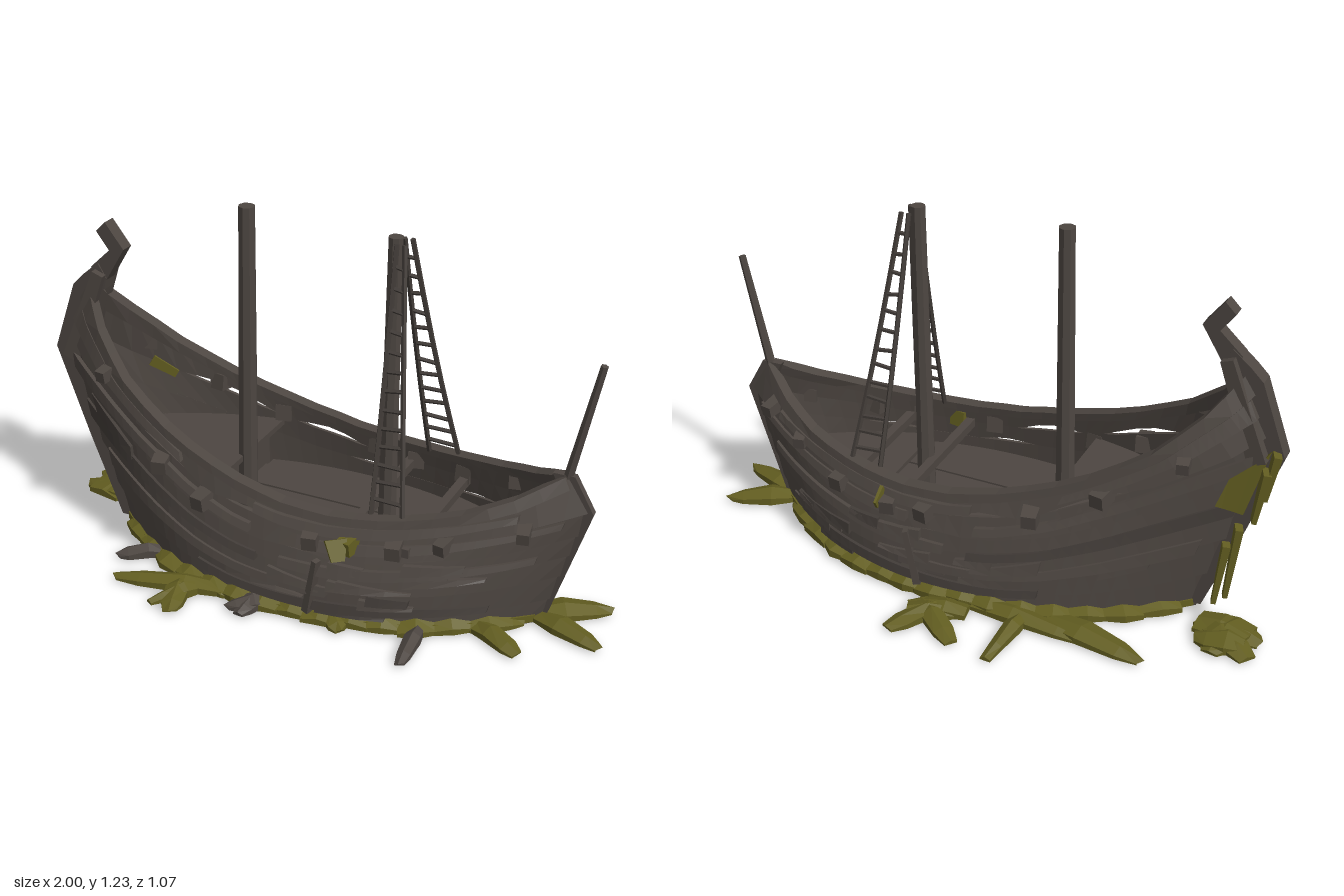
import * as THREE from 'three';

const V = (x, y, z) => new THREE.Vector3(x, y, z);
const mat = (name, color) => {
  const m = new THREE.MeshStandardMaterial({ color, flatShading: true });
  m.name = name;
  return m;
};
let seed = 7;
const rnd = () => (seed = (seed * 16807) % 2147483647) / 2147483647;

// piecewise linear lookup in [key, value] pairs
function look(table, k) {
  for (let i = 1; i < table.length; i++) {
    const [a, va] = table[i - 1], [b, vb] = table[i];
    if (k <= b) return va + (vb - va) * Math.max(0, (k - a) / (b - a));
  }
  return table[table.length - 1][1];
}

// hull form: u runs from prow to stern, t from keel to rim
const CZ = 0.03;
const SHEER = [0.88, 0.745, 0.61, 0.5, 0.43, 0.39, 0.375, 0.385, 0.415, 0.465, 0.535].map((h, i) => [i / 10, h]);
const STEM = [[0, -0.74], [0.3, -0.85], [0.62, -0.96], [0.75, -0.93], [0.88, -0.86]];
const STERN = [[0, 0.77], [0.42, 0.9], [0.53, 0.84]];
const BULGE = [[0, 1], [0.35, 1.04], [0.7, 1.02], [1, 0.96]];
function hull(u, t, s, o = 0) {
  const y = t * look(SHEER, u), a = look(STEM, y), b = look(STERN, y);
  const w = 0.308 * (1 - Math.abs(2 * u - 1) ** (2.4 - 0.35 * t)) * look(BULGE, t);
  return V(a + (b - a) * u, y, CZ + s * Math.max(0.004, w + o));
}

// closed solid through a row of equal-sized rings
function loft(rings) {
  const p = [], n = rings[0].length;
  const tri = (...c) => p.push(c);
  for (let i = 1; i < rings.length; i++)
    for (let j = 0; j < n; j++) {
      const k = (j + 1) % n, A = rings[i - 1], B = rings[i];
      tri(A[j], A[k], B[k]);
      tri(A[j], B[k], B[j]);
    }
  const F = rings[0], L = rings[rings.length - 1];
  for (let j = 1; j < n - 1; j++) {
    tri(F[0], F[j + 1], F[j]);
    tri(L[0], L[j], L[j + 1]);
  }
  const vol = p.reduce((v, [a, b, c]) => v + a.dot(b.clone().cross(c)), 0);
  if (vol < 0) p.forEach(c => c.reverse());
  const g = new THREE.BufferGeometry().setFromPoints(p.flat());
  g.computeVertexNormals();
  return g;
}

export function createModel() {
  seed = 7;
  const root = new THREE.Group();
  root.name = 'shipwreck';
  const wood = mat('weathered wood', 0x4d4641);
  const dark = mat('dark wood', 0x423c38);
  const moss = mat('moss', 0x635e21);
  const base = mat('hull bottom', 0x494646);
  const add = (name, geo, m) => {
    const mesh = new THREE.Mesh(geo, m);
    mesh.name = name;
    root.add(mesh);
    return mesh;
  };

  // plank following the hull side; lo and hi give its edges as t
  function strake(name, s, u0, u1, lo, hi, oLo, oHi, inner, m = wood, steps = 22) {
    const rings = [];
    for (let i = 0; i <= steps; i++) {
      const u = u0 + (u1 - u0) * i / steps, a = lo(u), b = hi(u);
      rings.push([hull(u, a, s, oLo), hull(u, b, s, oHi), hull(u, b, s, inner), hull(u, a, s, inner)]);
    }
    add(name, loft(rings), m);
  }
  // tapered bar between two points
  function bar(name, a, b, w, h, m, taper = 1) {
    const d = b.clone().sub(a), len = d.length(), g = new THREE.BoxGeometry(w, h, len);
    const pos = g.attributes.position;
    for (let i = 0; i < pos.count; i++)
      if (pos.getZ(i) > 0) pos.setXY(i, pos.getX(i) * taper, pos.getY(i) * taper);
    const mesh = add(name, g, m);
    mesh.position.copy(a).addScaledVector(d, 0.5);
    mesh.lookAt(b);
  }
  function pole(name, a, b, r0, r1, sides, m) {
    const d = b.clone().sub(a);
    const mesh = add(name, new THREE.CylinderGeometry(r1, r0, d.length(), sides), m);
    mesh.position.copy(a).addScaledVector(d, 0.5);
    mesh.quaternion.setFromUnitVectors(V(0, 1, 0), d.normalize());
  }
  // ridged, ragged splinter lying on the ground
  function splinter(name, x1, z1, x0, z0, w, m) {
    const d = V(x0 - x1, 0, z0 - z1), side = V(-d.z, 0, d.x).normalize();
    const rings = [[0, 0.45, 0.035], [0.35, 0.55, 0.05], [0.75, 0.42, 0.036], [1, 0.26, 0.022]].map(([k, f, h]) => {
      const at = (o, y, e = 0) => V(x1, y, z1).addScaledVector(d, k + e).addScaledVector(side, o);
      const e = k === 1 ? -0.12 * rnd() : 0, l = w * f * (0.8 + 0.4 * rnd());
      return [at(-l, 0.008, e), at(-l, h * 0.7, e), at(l * 0.2 * (rnd() - 0.5), h), at(l, h * 0.6, e / 2), at(l, 0.008, e / 2)];
    });
    add(name, loft(rings), m);
  }
  // flat plate with the hull's outline at height y, between two u values
  function plate(name, y, u0, u1, thick, grow, m) {
    const pts = [];
    for (const s of [1, -1])
      for (let i = 0; i <= 16; i++) {
        const k = s > 0 ? i / 16 : 1 - i / 16, u = u0 + (u1 - u0) * k;
        const p = hull(u, y / look(SHEER, u), s, grow);
        pts.push(new THREE.Vector2(p.x, -p.z));
      }
    const g = new THREE.ExtrudeGeometry(new THREE.Shape(pts), { depth: thick, bevelEnabled: false });
    g.rotateX(-Math.PI / 2).translate(0, y, 0);
    add(name, g, m);
  }

  // overlapping side planking with sprung, open seams
  const seam = (u, a, b, h) => (u > a && u < b ? h * Math.sin(Math.PI * (u - a) / (b - a)) : 0);
  const edges = [0, 0.18, 0.35, 0.5, 0.64, 0.8, 1];
  const beams = {
    '1': [[0.15, 0.95], [0.24, 0.72], [0.345, 0.73], [0.56, 0.81], [0.64, 0.82], [0.71, 0.81], [0.8, 0.8], [0.91, 0.8]],
    '-1': [[0.14, 0.9], [0.235, 0.85], [0.345, 0.83], [0.535, 0.85], [0.625, 0.83], [0.73, 0.82], [0.845, 0.88], [0.92, 0.9]]
  };
  for (const s of [1, -1]) {
    for (let r = 0; r < 6; r++) {
      const lo = u => edges[r] - (r ? 0.012 : 0)
        + (r === 5 ? seam(u, 0.17, 0.34, 0.06) + seam(u, 0.36, 0.52, 0.07) : 0)
        + (r === 4 ? seam(u, 0.46, 0.6, 0.035) + seam(u, 0.7, 0.84, 0.03) : 0);
      const hi = u => edges[r + 1] - (r === 3 ? seam(u, 0.46, 0.84, 0.015) : 0);
      strake('hullPlank', s, 0, 1, lo, hi, 0.011, -0.003, -0.015, wood, 30);
    }
    // rim rail and broad rubbing strakes
    strake('rimRail', s, 0.01, 0.99, () => 0.94, () => 1.01, 0.016, 0.012, -0.032);
    for (const [t, u0, u1, m] of [[0.3, 0.05, 0.6, wood], [0.46, 0.02, 0.45, dark], [0.49, 0.5, 0.95, wood], [0.68, 0.03, 0.44, wood], [0.72, 0.58, 0.97, wood], [0.15, 0.3, 0.9, dark], [0.87, 0.02, 0.3, wood], [0.86, 0.45, 0.9, wood]])
      strake('rubbingStrake', s, u0, u1, u => t + 0.015 * Math.sin(u * 9), u => t + 0.065 + 0.015 * Math.sin(u * 11), 0.027, 0.018, 0, m);
    // loose splintered boards
    for (let i = 0; i < 12; i++) {
      const u = 0.06 + 0.74 * rnd(), t = 0.08 + 0.5 * rnd(), l = 0.06 + 0.12 * rnd(), k = (rnd() - 0.5) * 0.5;
      strake('looseBoard', s, u, u + l, v => t + k * (v - u), v => t + 0.09 - 0.5 * (v - u), 0.024, 0.016, 0, i % 4 ? wood : dark, 3);
    }
    // upright fender
    bar('fender', hull(0.56, 0.1, s, 0.015), hull(0.58, 0.62, s, 0.025), 0.035, 0.025, wood, 0.7);
    // beam ends poking through the planking
    beams[s].forEach(([u, t], i) => {
      const a = hull(u, t, s, -0.025), size = u > 0.75 || u < 0.2 ? 0.045 : 0.056;
      const b = a.clone().add(V(0.015 * (i % 2 ? 1 : -1), -0.012, s * 0.075));
      bar('beamEnd', a, b, size, size, s > 0 && i === 4 ? moss : wood, 0.85);
    });
  }
  // moss draped over two beam ends
  bar('beamMoss', V(0.21, 0.33, 0.37), V(0.23, 0.27, 0.395), 0.07, 0.02, moss, 0.6);
  bar('beamMoss', V(0.235, 0.345, -0.27), V(0.235, 0.315, -0.325), 0.012, 0.045, moss, 0.7);

  // stem, sternpost and prow head
  const post = (name, pts, w) => add(name, loft(pts.map(([x0, x1, y0, y1 = y0]) =>
    [V(x0, y0, CZ - w), V(x1, y1, CZ - w), V(x1, y1, CZ + w), V(x0, y0, CZ + w)])), wood);
  post('stem', [[-0.76, -0.69, 0.02], [-0.87, -0.8, 0.3], [-0.985, -0.9, 0.62], [-0.9, -0.82, 0.86], [-0.86, -0.78, 0.9, 0.86], [-0.8, -0.77, 0.95, 0.9]], 0.028);
  post('prowHead', [[-0.83, -0.78, 0.93, 0.88], [-0.755, -0.7, 1.0, 1.01], [-0.8, -0.765, 1.06, 1.095]], 0.024);
  post('sternpost', [[0.7, 0.785, 0.02], [0.83, 0.915, 0.42], [0.78, 0.85, 0.535]], 0.012);
  pole('sternPole', V(0.82, 0.5, CZ), V(0.91, 0.91, CZ), 0.016, 0.012, 6, wood);
  for (const s of [1, -1])
    bar('prowCheek', V(-0.91, 0.6, CZ + s * 0.045), V(-0.79, 0.92, CZ + s * 0.04), 0.035, 0.06, wood, 0.7);

  // bottom, mossy under the bow
  plate('hullBottom', 0.003, 0.07, 0.98, 0.015, 0, base);
  plate('mossBed', 0.008, 0.005, 0.99, 0.025, 0.022, moss);

  // decks, bulkhead and cross beams
  plate('midDeck', 0.18, 0.3, 0.72, 0.015, -0.012, wood);
  plate('foreDeck', 0.34, 0.06, 0.34, 0.02, -0.012, wood);
  plate('aftDeck', 0.21, 0.7, 0.96, 0.015, -0.012, wood);
  bar('foreBulkhead', V(-0.34, 0.26, CZ - 0.26), V(-0.34, 0.26, CZ + 0.26), 0.025, 0.19, wood);
  for (const x of [0.2, 0.41])
    bar('crossBeam', V(x, 0.3, CZ - 0.28), V(x, 0.3, CZ + 0.28), 0.03, 0.03, wood);
  for (let i = -1; i <= 1; i++)
    bar('deckPlank', V(-0.32, 0.197, CZ + i * 0.15), V(0.4, 0.197, CZ + i * 0.15 + 0.01), 0.13, 0.008, wood);

  // masts
  pole('foreMast', V(-0.273, 0.17, CZ), V(-0.252, 1.225, CZ + 0.008), 0.034, 0.027, 8, wood);
  pole('mainMast', V(0.232, 0.17, CZ), V(0.25, 1.205, CZ + 0.008), 0.032, 0.024, 8, wood);

  // rope ladders from the main mast to both rims
  for (const s of [1, -1]) {
    const top = [V(0.262, 1.19, CZ + s * 0.03), V(0.288, 1.19, CZ + s * 0.03)];
    const low = [V(0.28, 0.38, CZ + s * 0.235), V(0.385, 0.38, CZ + s * 0.235)];
    const at = (i, k) => top[i].clone().lerp(low[i], k).add(V(0, -0.03 * Math.sin(Math.PI * k), 0));
    for (const i of [0, 1])
      for (let k = 0; k < 5; k++)
        pole('ladderRope', at(i, k / 5), at(i, (k + 1) / 5), 0.0085, 0.0085, 5, dark);
    for (let k = 1; k < 14; k++)
      pole('ladderRung', at(0, k / 14), at(1, k / 14 + 0.02 * (rnd() - 0.5)), 0.007, 0.007, 5, dark);
  }

  // moss skirt around the waterline
  for (const s of [1, -1])
    for (let i = 0; i < 14; i++) {
      const u = 0.03 + i * 0.065, a = hull(u, 0, s, 0.008), b = hull(Math.min(0.98, u + 0.1), 0, s, 0.012);
      splinter('mossSkirt', a.x, a.z, b.x, b.z, 0.06 + 0.03 * rnd(), moss);
    }
  // drifting splinters: outer x, z, inner x, z, width, is wood
  for (const [x0, z0, x1, z1, w, plain] of [
    [-0.7, -0.35, -0.35, -0.27, 0.08], [-0.5, -0.33, -0.1, -0.29, 0.07], [-0.25, -0.54, -0.27, -0.27, 0.06],
    [-0.12, -0.51, 0.06, -0.36, 0.07], [0.1, -0.53, -0.02, -0.33, 0.08], [0.1, -0.38, -0.1, -0.35, 0.08],
    [-0.1, -0.35, 0.08, -0.42, 0.07], [0.97, -0.1, 0.75, 0.02, 0.09], [1, 0.13, 0.76, 0.04, 0.07],
    [-0.58, 0.41, -0.2, 0.33, 0.08], [-0.3, 0.53, -0.36, 0.33, 0.08], [-0.39, 0.5, -0.28, 0.34, 0.06],
    [-0.1, 0.44, -0.08, 0.31, 0.08, 1], [-0.16, 0.42, -0.04, 0.33, 0.07, 1], [0.47, 0.48, 0.45, 0.26, 0.05, 1],
    [0.78, 0.27, 0.6, 0.17, 0.07], [-0.64, 0.3, -0.5, 0.2, 0.07, 1], [0.24, 0.39, 0.15, 0.3, 0.07],
    [-1, -0.1, -0.78, -0.08, 0.1], [-0.98, -0.2, -0.8, -0.06, 0.1], [-0.86, -0.22, -0.9, -0.03, 0.12], [-0.79, -0.15, -0.95, -0.13, 0.12]])
    splinter(plain ? 'driftWood' : 'mossSplinter', x1, z1, x0, z0, w, plain ? wood : moss);

  // moss hanging from the prow
  for (const [x, y0, y1, z, w] of [[-0.965, 0.64, 0.48, -0.01, 0.05], [-0.94, 0.58, 0.4, -0.02, 0.06], [-0.87, 0.36, 0.1, -0.02, 0.045], [-0.84, 0.3, 0.08, -0.04, 0.035]])
    bar('hangingMoss', V(x, y0, z), V(x + 0.025, y1, z - 0.01), w, 0.025, moss, 0.6);
  strake('mossPatch', -1, 0.005, 0.055, u => 0.45 + 2 * u, u => 0.74 - u, 0.035, 0.03, 0, moss, 4);
  // moss patch inside the bow
  bar('bowMoss', hull(0.13, 0.79, -1, -0.018), hull(0.165, 0.77, -1, -0.018), 0.012, 0.04, moss, 0.7);
  return root;
}
